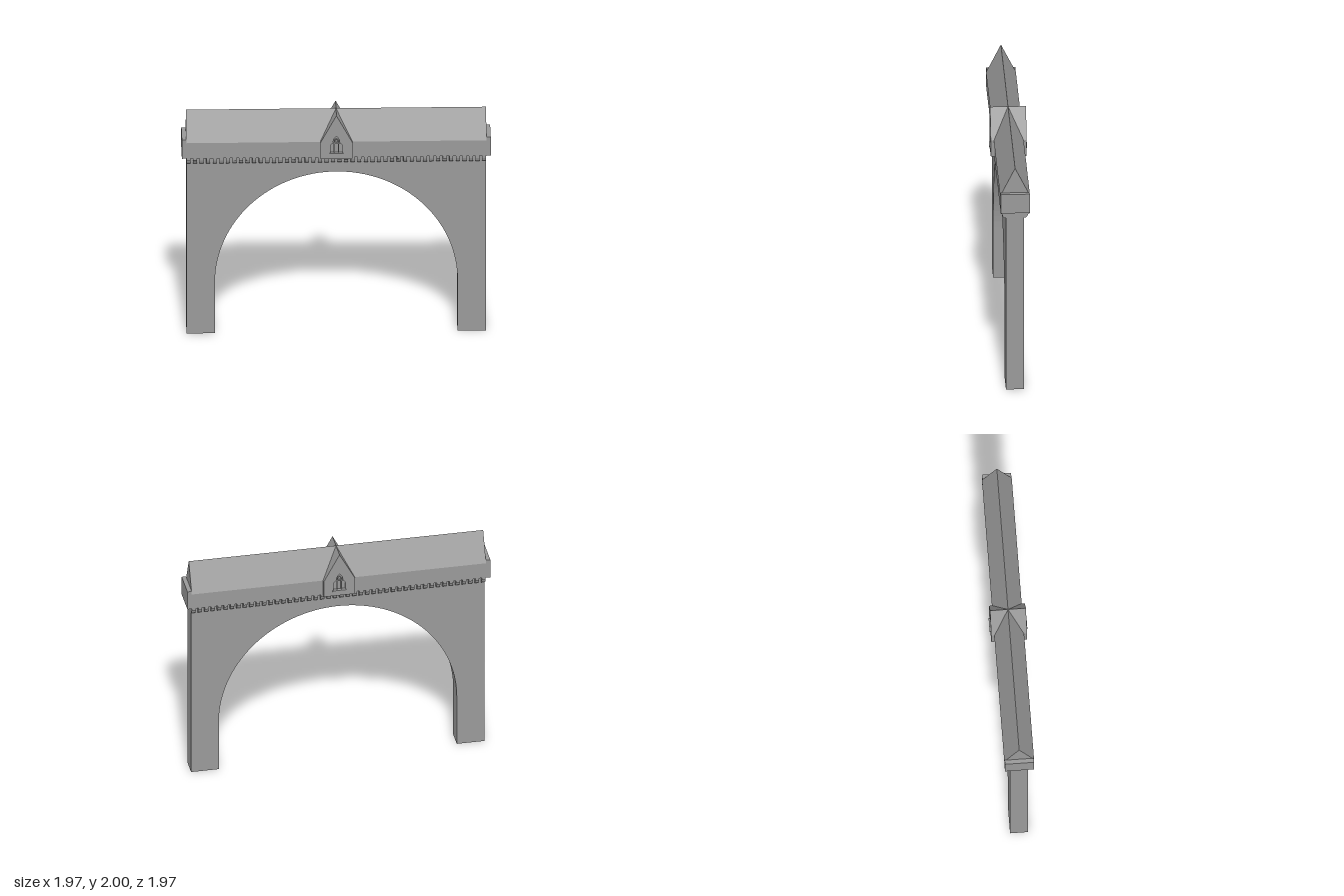
import * as THREE from 'three';
import { mergeGeometries } from 'three/addons/utils/BufferGeometryUtils.js';

const stone = new THREE.MeshStandardMaterial({ color: 0x999999 });
stone.name = 'grey stone';

const shapeOf = pts => new THREE.Shape(pts.map(p => new THREE.Vector2(p[0], p[1])));

// Extrusion centred on its own depth
function slab(shape, depth, segments = 24) {
  const g = new THREE.ExtrudeGeometry(shape, { depth, bevelEnabled: false, curveSegments: segments });
  return g.translate(0, 0, -depth / 2);
}

function box(w, h, d, x, y, z) {
  return new THREE.BoxGeometry(w, h, d).translate(x, y, z);
}

function add(parent, name, geometry) {
  const mesh = new THREE.Mesh(geometry, stone);
  mesh.name = name;
  parent.add(mesh);
  return mesh;
}

export function createModel() {
  const group = new THREE.Group();
  group.name = 'gateway';
  const arch = new THREE.Group();
  arch.name = 'archway';
  arch.rotation.y = Math.PI / 4; // the gateway stands on the diagonal
  group.add(arch);

  // Wall with two legs and a round arch between them
  const wall = new THREE.Shape();
  wall.moveTo(-1.233, 0);
  wall.lineTo(-1, 0);
  wall.lineTo(-1, 0.46);
  wall.absarc(0, 0.46, 1, Math.PI, 0, true);
  wall.lineTo(1, 0);
  wall.lineTo(1.233, 0);
  wall.lineTo(1.233, 1.62);
  wall.lineTo(-1.233, 1.62);
  wall.closePath();
  add(arch, 'archWall', slab(wall, 0.15, 32));

  // Overhanging band and its raised end blocks
  add(arch, 'band', box(2.48, 0.14, 0.236, 0, 1.68, 0));
  for (const s of [-1, 1]) {
    add(arch, s > 0 ? 'rightEndBlock' : 'leftEndBlock', box(0.036, 0.17, 0.24, s * 1.255, 1.695, 0));
  }

  // Row of small corbels under the band on both faces
  const corbelShape = shapeOf([
    [0.07, 1.55], [0.088, 1.55], [0.102, 1.565], [0.108, 1.585], [0.118, 1.59], [0.118, 1.612], [0.07, 1.612],
  ]);
  const corbels = [];
  const count = 46;
  for (let i = 0; i < count; i++) {
    const u = -1.218 + (2.436 * i) / (count - 1);
    for (const turn of [-Math.PI / 2, Math.PI / 2]) {
      corbels.push(slab(corbelShape, 0.032).rotateY(turn).translate(u, 0, 0));
    }
  }
  add(arch, 'corbels', mergeGeometries(corbels));

  // Main pitched roof
  const roof = shapeOf([[-0.123, 1.752], [0.123, 1.752], [0, 2]]);
  add(arch, 'roof', slab(roof, 2.474).rotateY(Math.PI / 2));

  // Cross gable running through the middle
  const gable = [[-0.132, 1.608], [0.132, 1.608], [0.132, 1.755], [0, 2], [-0.132, 1.755]];
  add(arch, 'gableCore', slab(shapeOf(gable), 0.25));

  for (const s of [-1, 1]) {
    const front = new THREE.Group();
    front.name = s > 0 ? 'frontGable' : 'backGable';
    front.rotation.y = s > 0 ? 0 : Math.PI;
    arch.add(front);

    // Gable face with a stepped, pointed window niche
    const face = shapeOf(gable);
    const niche = new THREE.Path();
    niche.moveTo(-0.05, 1.66);
    niche.lineTo(0.05, 1.66);
    niche.lineTo(0.05, 1.715);
    niche.quadraticCurveTo(0.05, 1.74, 0.028, 1.752);
    niche.quadraticCurveTo(0.028, 1.79, 0, 1.815);
    niche.quadraticCurveTo(-0.028, 1.79, -0.028, 1.752);
    niche.quadraticCurveTo(-0.05, 1.74, -0.05, 1.715);
    niche.closePath();
    face.holes.push(niche);
    add(front, 'gableFace', slab(face, 0.024, 6).translate(0, 0, 0.136));

    // Tracery inside the niche
    const ring = new THREE.TorusGeometry(0.016, 0.005, 6, 14).translate(0, 1.765, 0.134);
    add(front, 'windowTracery', mergeGeometries([
      box(0.009, 0.088, 0.014, -0.018, 1.704, 0.132),
      box(0.009, 0.088, 0.014, 0.018, 1.704, 0.132),
      box(0.1, 0.009, 0.014, 0, 1.748, 0.132),
      ring,
    ]));
    add(front, 'windowSill', box(0.115, 0.012, 0.012, 0, 1.655, 0.15));
  }
  return group;
}
